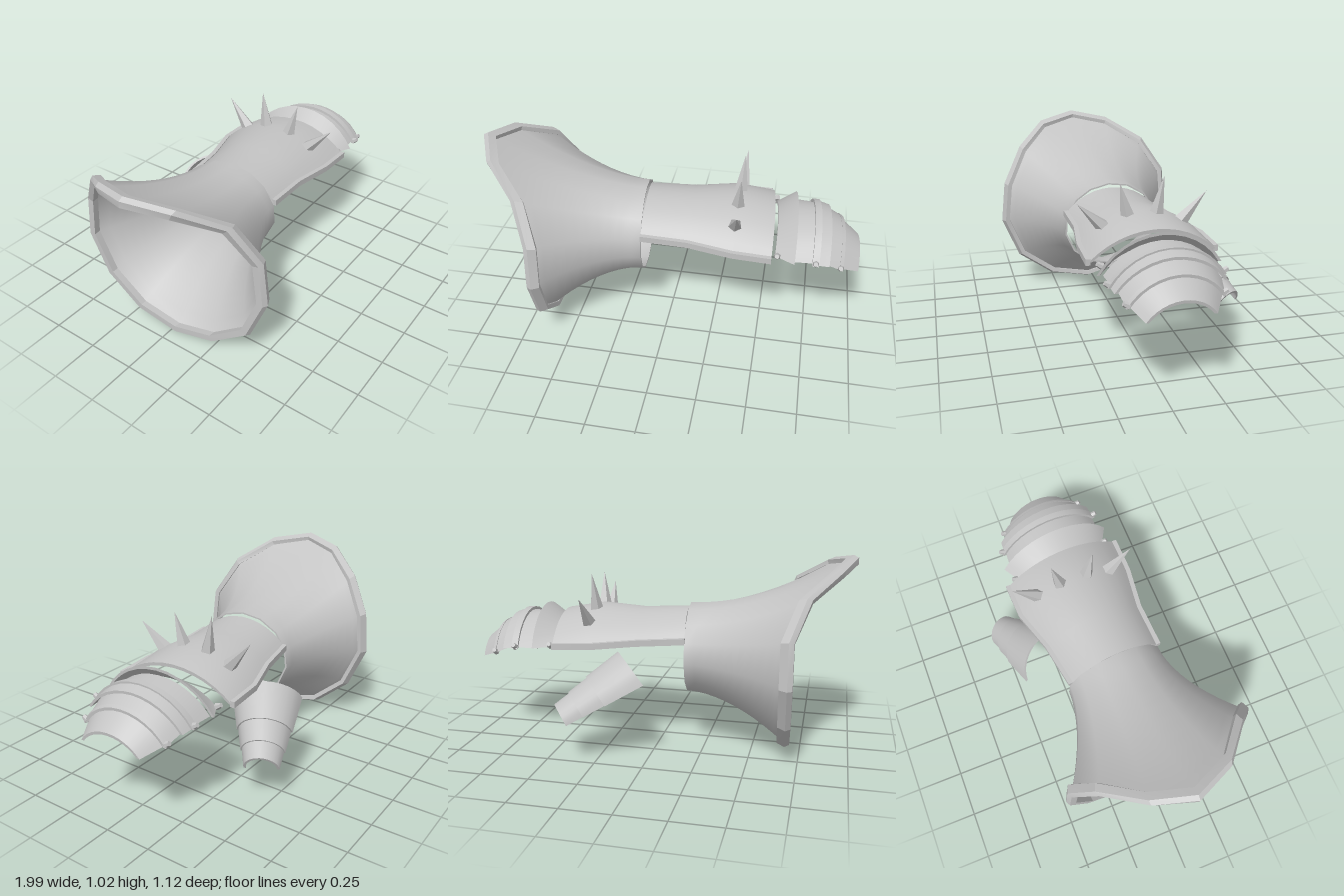
import * as THREE from 'three';
import { toCreasedNormals } from 'three/addons/utils/BufferGeometryUtils.js';

const V = (x, y, z) => new THREE.Vector3(x, y, z);
const SKEW = 0.065; // slices lean slightly with z
const steel = new THREE.MeshStandardMaterial({ color: 0xc4c4c4 });
steel.name = 'steel grey';

function add(group, name, geometry) {
  const mesh = new THREE.Mesh(geometry, steel);
  mesh.name = name;
  group.add(mesh);
  return mesh;
}

// Skin a list of closed loops; optional end caps join point j with point n-1-j.
function loft(loops, capped, crease = 0.6) {
  const pos = [], n = loops[0].length;
  const quad = (a, b, c, d) => [a, b, c, a, c, d].forEach((p) => pos.push(p.x, p.y, p.z));
  for (let i = 0; i + 1 < loops.length; i++) {
    for (let j = 0; j < n; j++) {
      const k = (j + 1) % n;
      quad(loops[i][j], loops[i + 1][j], loops[i + 1][k], loops[i][k]);
    }
  }
  if (capped) {
    const s = loops[0], e = loops[loops.length - 1];
    for (let j = 0; j < n / 2 - 1; j++) {
      quad(s[j], s[j + 1], s[n - 2 - j], s[n - 1 - j]);
      quad(e[n - 1 - j], e[n - 2 - j], e[j + 1], e[j]);
    }
  }
  const g = new THREE.BufferGeometry();
  g.setAttribute('position', new THREE.Float32BufferAttribute(pos, 3));
  return toCreasedNormals(g, crease);
}

// Arched cross-section with wall thickness t, spanning mid +- half and rising by up.
function arch(mid, half, up, t = 0.015, steps = 12) {
  const w = half.length(), h = up.length(), A = 2 * Math.atan(h / w);
  const row = (kw, kh) => Array.from({ length: steps + 1 }, (_, i) => {
    const a = A * (1 - (2 * i) / steps);
    return mid.clone()
      .addScaledVector(half, (kw * Math.sin(a)) / Math.sin(A))
      .addScaledVector(up, (kh * (Math.cos(a) - Math.cos(A))) / (1 - Math.cos(A)));
  });
  return [...row(1, 1), ...row(1 - t / w, 1 - t / h).reverse()];
}

// Section given as [x, centre z, half width, bottom y, top y]
const slice = ([x, zc, w, b, top], t) =>
  arch(V(x + SKEW * zc, b, zc), V(SKEW * w, 0, w), V(0.01, top - b, 0), t);

function buildCuff(group) {
  // rim corners as z, y
  const corners = [
    [0.06, 1.025], [-0.15, 0.985], [-0.35, 0.87], [-0.47, 0.68], [-0.49, 0.45], [-0.39, 0.22], [-0.2, 0.06],
    [0.035, 0.005], [0.27, 0.055], [0.47, 0.2], [0.565, 0.43], [0.54, 0.66], [0.43, 0.865], [0.27, 0.985],
  ];
  const cy = 0.515, cz = 0.035;
  const rimPoint = ([z, y], k, dx) => {
    const lean = 0.31 * Math.pow(Math.max(0, (y - 0.66) / 0.365), 2.5);
    return V(-0.66 - lean + SKEW * z + dx, cy + (y - cy) * k, cz + (z - cz) * k);
  };
  const endPoint = ([z, y], k) => {
    const a = Math.atan2(y - cy, z - cz);
    const ez = 0.268 * k * Math.cos(a);
    return V(-0.143 + SKEW * ez, cy + 0.238 * k * Math.sin(a), ez);
  };
  const ring = (s, rimK, endK) => corners.map((c) => {
    const p = rimPoint(c, rimK, 0), q = endPoint(c, endK);
    const f = 1 - Math.pow(1 - s, 1.8);
    return V(p.x + (q.x - p.x) * s, p.y + (q.y - p.y) * f, p.z + (q.z - p.z) * f);
  });
  // flared double wall: outside going forward, inside coming back
  const loops = [], N = 10;
  for (let i = 0; i <= N; i++) loops.push(ring(i / N, 0.955, 1));
  for (let i = N; i >= 0; i--) loops.push(ring(i / N, 0.925, 0.965));
  add(group, 'flaredCuff', loft([...loops, loops[0]], false, 0.7));

  // faceted rim band
  const profile = [[0.91, -0.03], [0.975, -0.03], [1, -0.005], [0.965, 0.035], [0.92, 0.03], [0.91, -0.03]];
  add(group, 'cuffRim', loft(profile.map(([k, dx]) => corners.map((c) => rimPoint(c, k, dx))), false, 0.3));
}

function buildHandPlate(group) {
  const sections = [
    [-0.145, 0.005, 0.255, 0.6, 0.73], [0.1, -0.02, 0.272, 0.588, 0.72],
    [0.33, -0.04, 0.322, 0.575, 0.738], [0.53, -0.045, 0.325, 0.565, 0.7],
  ];
  add(group, 'handPlate', loft(sections.map((s) => slice(s, 0.018)), true));
  // raised strips along both lower edges
  for (const side of [1, -1]) {
    const loops = sections.map(([x, zc, w, b]) => {
      const z = zc + side * w, px = x + SKEW * z;
      return [[0.018, 0.012], [0.018, -0.012], [-0.014, -0.012], [-0.014, 0.012]]
        .map(([dy, dz]) => V(px, b + dy, z + dz));
    });
    add(group, side > 0 ? 'leftEdgeStrip' : 'rightEdgeStrip', loft(loops, true));
  }
}

function spikeBetween(group, name, base, tip, radius, sides) {
  const dir = tip.clone().sub(base), length = dir.length();
  const cone = new THREE.ConeGeometry(radius, length, sides);
  cone.translate(0, length / 2, 0);
  const mesh = add(group, name, toCreasedNormals(cone, 0.2));
  mesh.position.copy(base);
  mesh.quaternion.setFromUnitVectors(V(0, 1, 0), dir.normalize());
}

function buildFingers(group) {
  const zc = -0.043;
  const plates = {
    knucklePlate: [[0.55, zc, 0.255, 0.545, 0.65], [0.648, zc, 0.31, 0.545, 0.725]],
    firstFingerPlate: [[0.63, zc, 0.275, 0.535, 0.68], [0.745, zc, 0.268, 0.535, 0.675]],
    middleRidge: [[0.738, zc, 0.287, 0.53, 0.693], [0.772, zc, 0.287, 0.53, 0.693]],
    secondFingerPlate: [[0.76, zc, 0.275, 0.53, 0.688], [0.825, zc, 0.27, 0.525, 0.668]],
    thirdFingerPlate: [[0.8, zc, 0.25, 0.525, 0.668], [0.895, zc, 0.232, 0.483, 0.615]],
    tipRidge: [[0.882, zc, 0.24, 0.49, 0.625], [0.9, zc, 0.236, 0.48, 0.615]],
    fingertipPlate: [[0.885, zc, 0.22, 0.485, 0.612], [0.985, -0.037, 0.166, 0.445, 0.532]],
  };
  for (const [name, list] of Object.entries(plates)) {
    add(group, name, loft(list.map((s) => slice(s)), true));
  }
  // hexagonal rivets on the lower corners
  for (const [x, y, w] of [[0.56, 0.56, 0.275], [0.755, 0.545, 0.285], [0.887, 0.497, 0.233]]) {
    for (const side of [1, -1]) {
      const g = new THREE.CylinderGeometry(0.012, 0.018, 0.03, 6);
      g.rotateX((side * Math.PI) / 3);
      const z = zc + side * w;
      add(group, 'rivet', toCreasedNormals(g, 0.3)).position.set(x + SKEW * z, y, z);
    }
  }
}

function buildThumb(group) {
  // edges and crown at the root (t = 0) and at the tip (t = 1)
  const at = (t, k = 1) => arch(
    V(0.085, 0.423, -0.3).lerp(V(0.415, 0.215, -0.48), t),
    V(0.085, 0, 0.16).lerp(V(0.046, 0, 0.08), t).multiplyScalar(k),
    V(0.075, 0.122, -0.03).lerp(V(0.04, 0.085, -0.012), t).multiplyScalar(k), 0.012);
  [[0, 0.5, 1, 1.03], [0.47, 0.78, 0.97, 0.99], [0.75, 1, 0.93, 0.95]].forEach(([a, b, ka, kb], i) => {
    add(group, ['thumbRootPlate', 'thumbMiddlePlate', 'thumbTipPlate'][i],
      loft([at(a, ka), at((a + b) / 2, (ka + kb) / 2), at(b, kb)], true));
  });
}

export function createModel() {
  const group = new THREE.Group();
  group.name = 'spikedGauntlet';
  buildCuff(group);
  buildHandPlate(group);
  // row of spikes over the back of the hand: base z, y then tip z, y
  for (const [bz, by, tz, ty] of [
    [0.155, 0.665, 0.295, 0.8], [0.035, 0.71, 0.08, 0.89], [-0.11, 0.71, -0.147, 0.912], [-0.235, 0.665, -0.37, 0.82],
  ]) {
    spikeBetween(group, 'handSpike', V(0.347, by, bz), V(0.36 + SKEW * 0.2 * tz, ty, tz), 0.039, 5);
  }
  buildFingers(group);
  buildThumb(group);
  return group;
}
